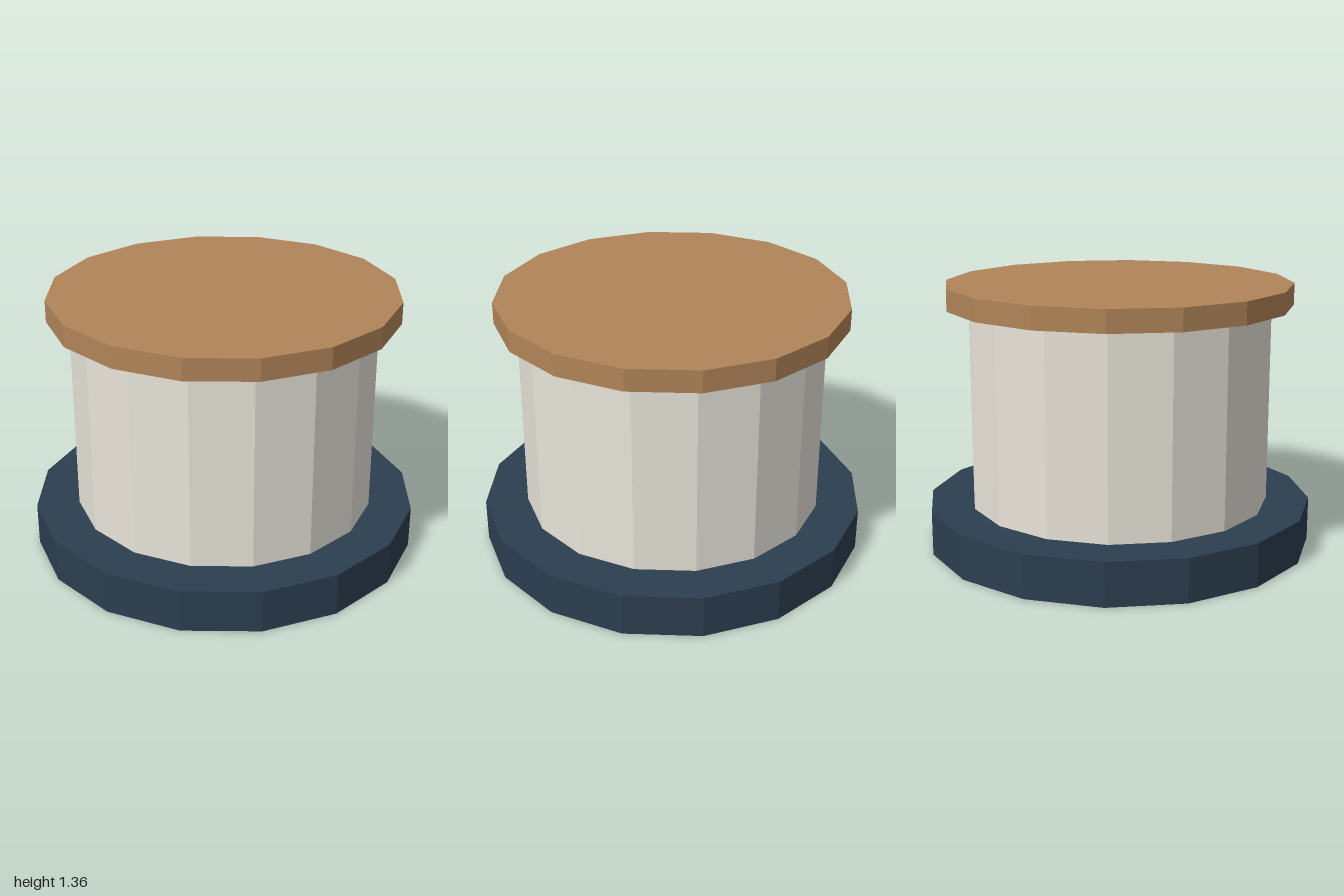
import * as THREE from 'three';

const SIDES = 16;

export function createModel() {
  const group = new THREE.Group();
  group.name = 'drumStool';

  // Sixteen-sided faceted disc spanning the heights y0 to y1
  function addDisc(name, radius, y0, y1, color) {
    const mesh = new THREE.Mesh(
      new THREE.CylinderGeometry(radius, radius, y1 - y0, SIDES),
      new THREE.MeshStandardMaterial({ color, flatShading: true })
    );
    mesh.name = name;
    mesh.position.y = (y0 + y1) / 2;
    group.add(mesh);
  }

  addDisc('base', 1, 0, 0.222, 0x2c3e50);
  addDisc('drum', 0.778, 0.222, 1.25, 0xe8e4da);
  addDisc('topPlate', 0.889, 1.247, 1.358, 0xb08458);

  return group;
}
